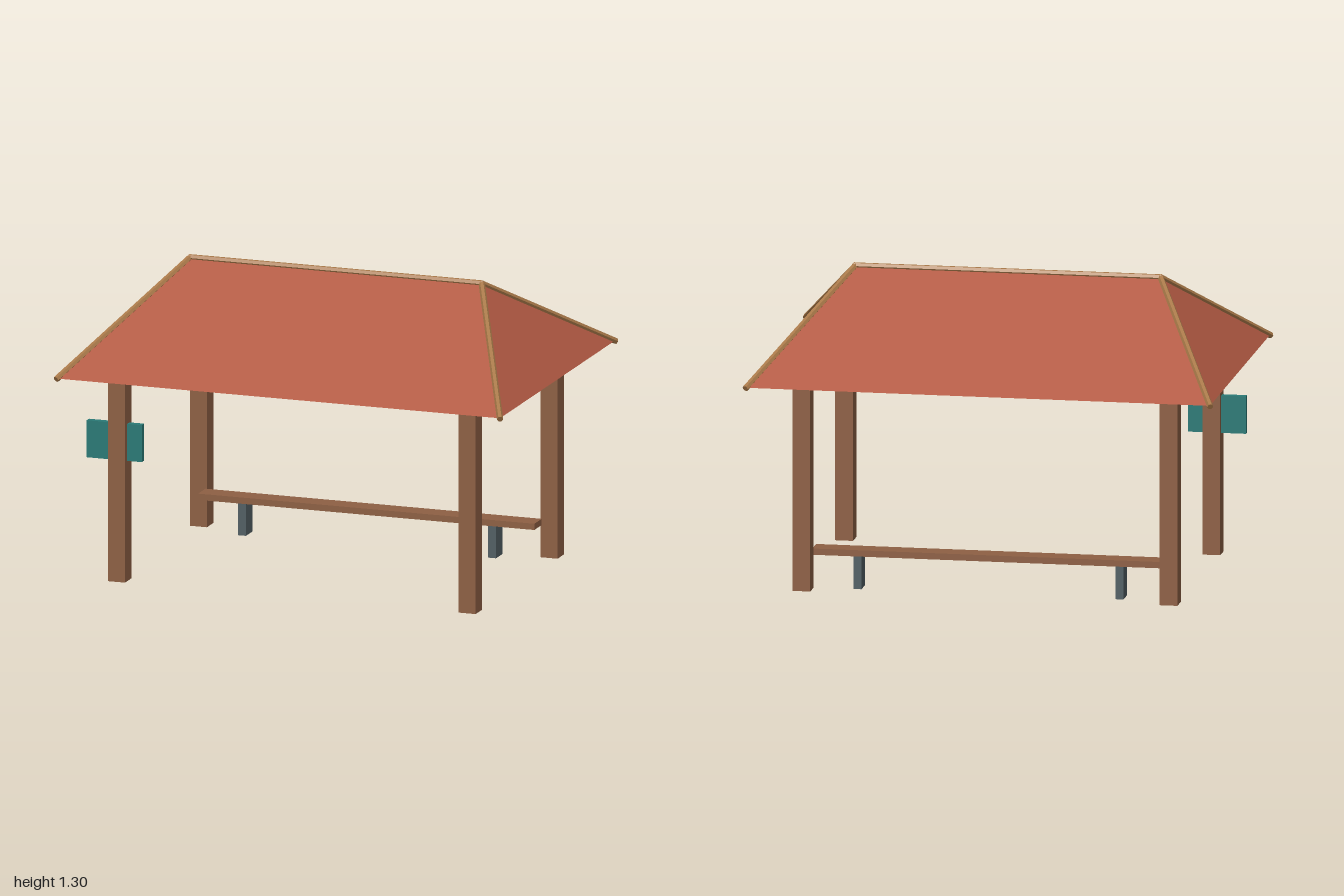
import * as THREE from 'three';
import { ConvexGeometry } from 'three/addons/geometries/ConvexGeometry.js';

const material = (name, color, flatShading = false) => {
  const m = new THREE.MeshStandardMaterial({ color, flatShading });
  m.name = name;
  return m;
};

export function createModel() {
  const postWood = material('post wood', 0x8e6044);
  const trimWood = material('trim wood', 0xa87848, true);
  const roofRed = material('roof red', 0xb25a43);
  const steel = material('grey steel', 0x525f64);
  const teal = material('teal', 0x2a7a76);

  const model = new THREE.Group();
  model.name = 'shelter';

  const add = (name, geometry, mat, x = 0, y = 0, z = 0) => {
    const mesh = new THREE.Mesh(geometry, mat);
    mesh.name = name;
    mesh.position.set(x, y, z);
    model.add(mesh);
    return mesh;
  };
  const box = (name, mat, w, h, d, x, y, z) =>
    add(name, new THREE.BoxGeometry(w, h, d), mat, x, y, z);

  // Hipped roof: a closed solid with a flat underside
  const eaveY = 0.9, ridgeY = 1.286;
  const ridgeEnd = s => new THREE.Vector3(s * 0.65, ridgeY, 0);
  const corner = (sx, sz) => new THREE.Vector3(sx * 0.988, eaveY, sz * 0.704);
  const points = [];
  for (const sx of [-1, 1]) points.push(ridgeEnd(sx), corner(sx, -1), corner(sx, 1));
  add('roof', new ConvexGeometry(points), roofRed);

  // Thin poles capping the ridge and the four hips
  const pole = (name, a, b) => {
    const dir = b.clone().sub(a);
    const mesh = add(name, new THREE.CylinderGeometry(0.0135, 0.0135, dir.length() + 0.012, 6), trimWood);
    mesh.position.copy(a).add(b).multiplyScalar(0.5);
    mesh.quaternion.setFromUnitVectors(new THREE.Vector3(0, 1, 0), dir.normalize());
  };
  pole('ridgePole', ridgeEnd(-1), ridgeEnd(1));

  // Corner posts and hip poles
  for (const sx of [-1, 1]) {
    for (const sz of [-1, 1]) {
      pole('hipPole', ridgeEnd(sx), corner(sx, sz));
      box('post', postWood, 0.076, eaveY, 0.08, sx * 0.782, eaveY / 2, sz * 0.502);
    }
    box('benchSupport', steel, 0.035, 0.14, 0.08, sx * 0.558, 0.07, -0.42);
  }

  // Bench plank against the back posts
  box('benchSeat', postWood, 1.5, 0.027, 0.09, 0, 0.1535, -0.415);

  // Notice board through the front right post
  box('noticeBoard', teal, 0.246, 0.16, 0.028, -0.802, 0.6, 0.5);

  return model;
}
